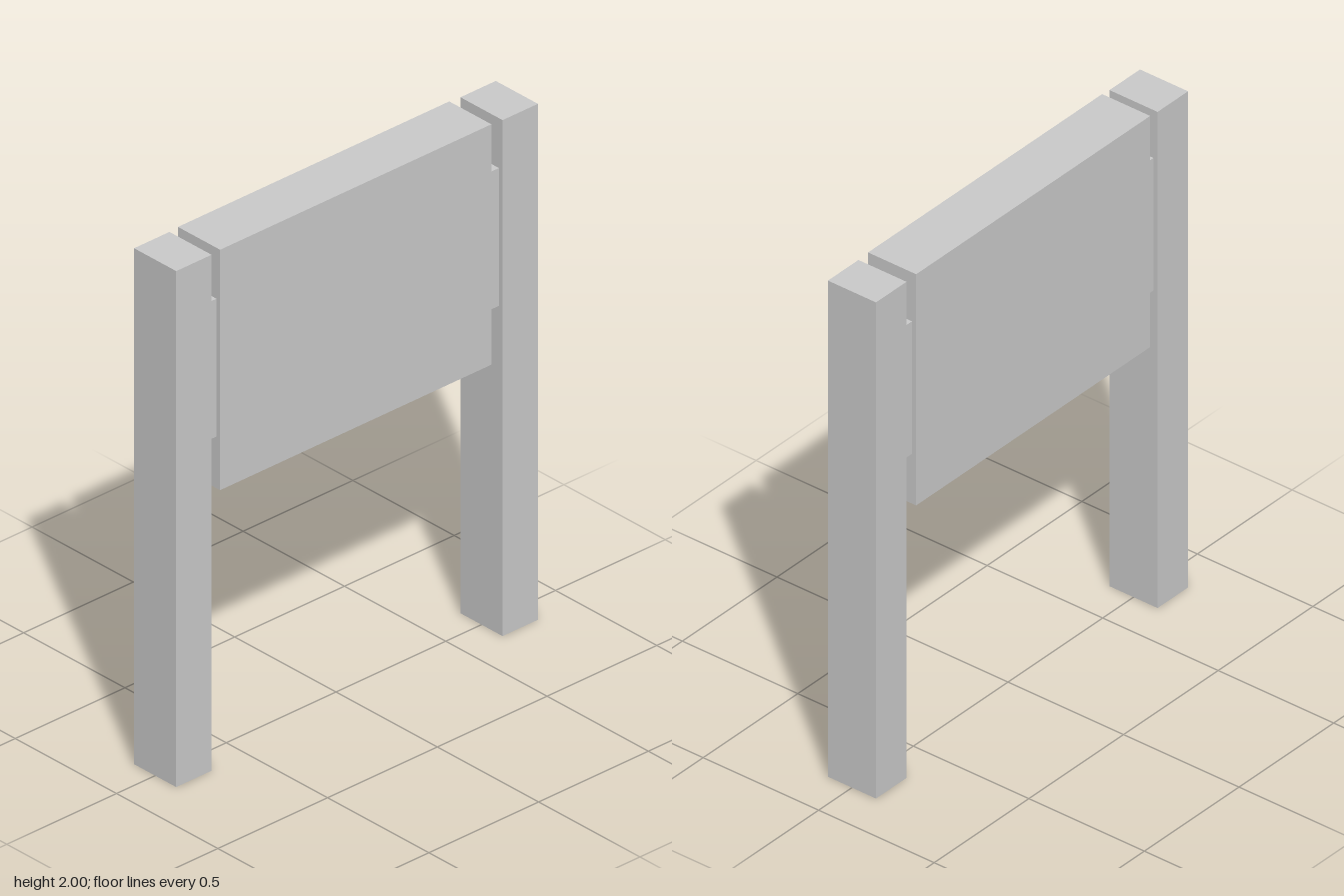
import * as THREE from 'three';

export function createModel() {
  const group = new THREE.Group();
  const material = new THREE.MeshStandardMaterial({ color: 0xcccccc });

  // Box given by its extents in x and y and its depth, centred on z = 0
  function addBox(name, x0, x1, y0, y1, depth) {
    const mesh = new THREE.Mesh(new THREE.BoxGeometry(x1 - x0, y1 - y0, depth), material);
    mesh.name = name;
    mesh.position.set((x0 + x1) / 2, (y0 + y1) / 2, 0);
    group.add(mesh);
  }

  // Upright posts
  const postInner = 0.663, postOuter = 0.824;
  addBox('leftPost', postInner, postOuter, 0, 1.996, 0.208);
  addBox('rightPost', -postOuter, -postInner, 0, 1.996, 0.208);

  // Sign panel, set slightly nearer the right post
  const panelLeft = 0.612, panelRight = -0.624;
  addBox('panel', panelRight, panelLeft, 1.07, 2, 0.208);

  // Spacers joining the panel to the posts
  addBox('leftSpacer', panelLeft, postInner, 1.27, 1.803, 0.172);
  addBox('rightSpacer', -postInner, panelRight, 1.27, 1.803, 0.172);

  return group;
}
